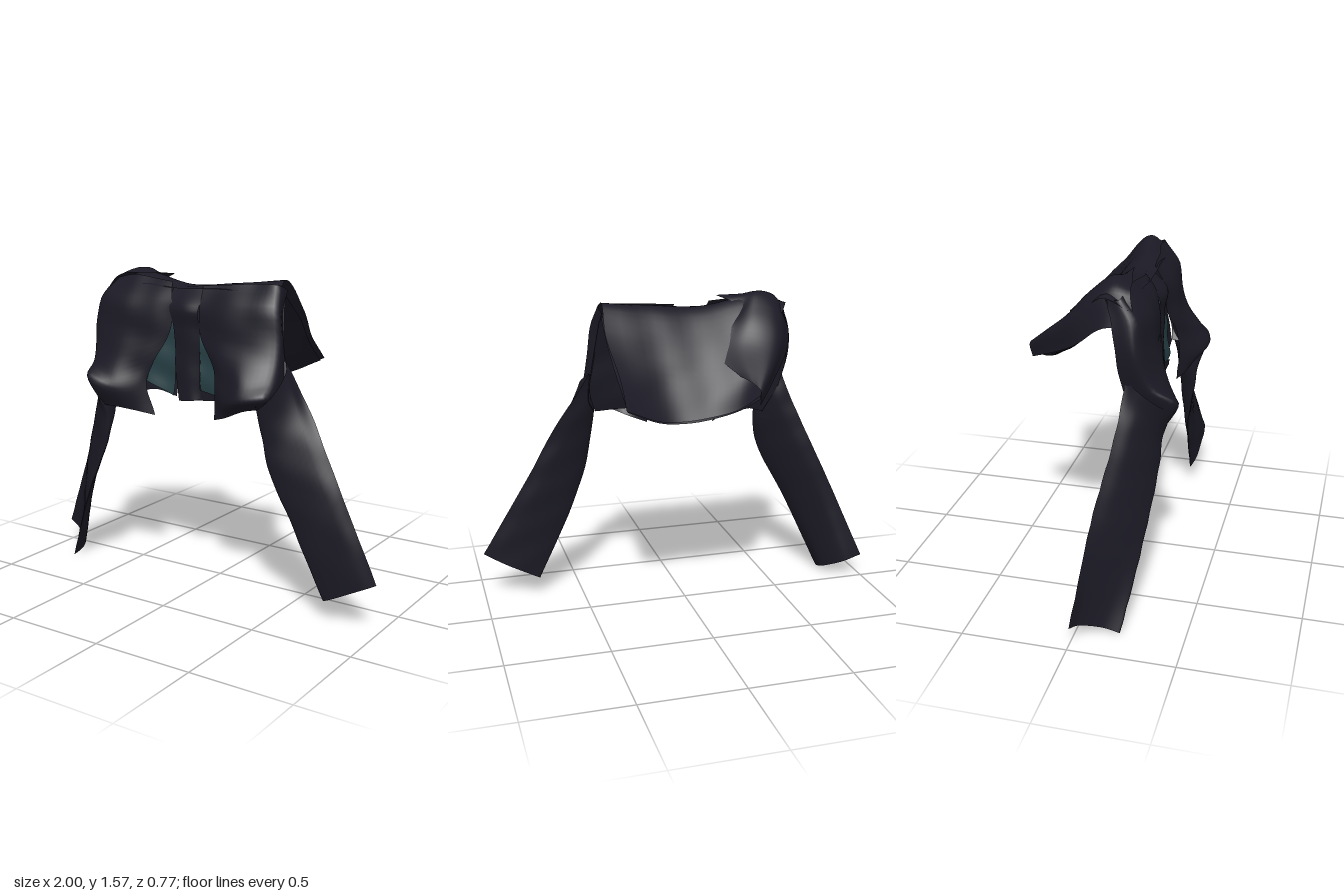
import * as THREE from 'three';

const cloth = new THREE.MeshStandardMaterial({ color: 0x1b1a25, side: THREE.DoubleSide });
cloth.name = 'dark cloth';
const teal = new THREE.MeshStandardMaterial({ color: 0x263f44, side: THREE.DoubleSide });
teal.name = 'teal lining';

const spline = (pts) => new THREE.CatmullRomCurve3(pts);

// Smooth sheet through a grid of control points (rows of [x, y, z]) with slight wrinkles
function sheet(name, rows, mat = cloth, wrinkle = 0.004, nu = 24, nv = 24) {
  const curves = rows.map((r) => spline(r.map((p) => new THREE.Vector3(...p))));
  const pos = [], index = [];
  for (let i = 0; i <= nu; i++) {
    const column = spline(curves.map((c) => c.getPoint(i / nu)));
    for (let j = 0; j <= nv; j++) {
      const p = column.getPoint(j / nv);
      p.z += wrinkle * Math.sin(p.x * 23 + p.y * 17) * Math.sin(p.y * 21 - p.x * 9);
      pos.push(p.x, p.y, p.z);
      if (i < nu && j < nv) {
        const a = i * (nv + 1) + j, b = a + nv + 1;
        index.push(a, a + 1, b, b, a + 1, b + 1);
      }
    }
  }
  const geo = new THREE.BufferGeometry();
  geo.setAttribute('position', new THREE.Float32BufferAttribute(pos, 3));
  geo.setIndex(index);
  geo.computeVertexNormals();
  const mesh = new THREE.Mesh(geo, mat);
  mesh.name = name;
  return mesh;
}

// Flattened tube: each section is [outer edge, inner edge, half thickness, sideways bow]
function sleeve(name, sections) {
  const rows = sections.map(([a, b, t, bow]) => {
    const A = new THREE.Vector3(...a), B = new THREE.Vector3(...b);
    const n = B.clone().sub(A).cross(new THREE.Vector3(0, 1, 0)).normalize();
    const at = (f, s) => A.clone().lerp(B, f).addScaledVector(n, s + bow).toArray();
    return [a, at(0.25, t), at(0.75, t), b, at(0.75, -t), at(0.25, -t), a];
  });
  return sheet(name, rows, cloth, 0.003, 36, 30);
}

export function createModel() {
  const g = new THREE.Group();
  g.name = 'drapedJacket';

  // Front panels, each wrapping round the side and bulging at the elbow
  g.add(sheet('rightFrontPanel', [
    [[-.52, 1.5, .06], [-.54, 1.51, .13], [-.42, 1.54, .14], [-.28, 1.53, .15], [-.17, 1.52, .16]],
    [[-.57, 1.4, .1], [-.58, 1.42, .2], [-.4, 1.42, .24], [-.25, 1.42, .23], [-.14, 1.42, .21]],
    [[-.59, 1.28, .12], [-.6, 1.28, .22], [-.4, 1.25, .27], [-.25, 1.25, .25], [-.14, 1.3, .22]],
    [[-.56, 1.1, .15], [-.57, 1.12, .28], [-.42, 1.08, .33], [-.32, 1.1, .29], [-.225, 1.13, .25]],
    [[-.53, 1.0, .18], [-.54, 1.05, .38], [-.4, 1.0, .36], [-.32, 1.0, .31], [-.26, 1.03, .26]],
    [[-.48, .93, .19], [-.5, .91, .31], [-.38, .9, .31], [-.3, .89, .29], [-.22, .87, .25]],
  ]));
  g.add(sheet('leftFrontPanel', [
    [[.4, 1.5, .04], [.4, 1.53, .12], [.28, 1.53, .13], [.14, 1.52, .15], [.01, 1.51, .16]],
    [[.41, 1.4, .1], [.43, 1.42, .18], [.28, 1.42, .22], [.14, 1.42, .22], [.02, 1.4, .21]],
    [[.43, 1.25, .12], [.45, 1.25, .2], [.3, 1.25, .25], [.16, 1.26, .25], [.03, 1.28, .22]],
    [[.45, 1.12, .14], [.46, 1.12, .26], [.34, 1.1, .34], [.22, 1.12, .3], [.125, 1.14, .25]],
    [[.45, 1.04, .16], [.46, 1.04, .34], [.34, 1.02, .38], [.23, 1.0, .33], [.14, 1.04, .26]],
    [[.42, .99, .17], [.42, .98, .27], [.34, .97, .31], [.22, .92, .3], [.13, .89, .25]],
  ]));

  // Inner layers behind the front, parted below the neck
  g.add(sheet('rightInnerLayer', [
    [[-.53, 1.5, .07], [-.4, 1.5, .1], [-.25, 1.5, .11], [-.12, 1.5, .11]],
    [[-.58, 1.3, .12], [-.4, 1.29, .13], [-.25, 1.28, .15], [-.11, 1.28, .16]],
    [[-.56, 1.1, .15], [-.4, 1.1, .16], [-.25, 1.1, .18], [-.12, 1.1, .18]],
    [[-.48, .92, .19], [-.38, .95, .19], [-.25, .99, .2], [-.128, .965, .19]],
  ]));
  g.add(sheet('leftInnerLayer', [
    [[-.12, 1.5, .11], [.05, 1.49, .11], [.22, 1.49, .1], [.4, 1.5, .06]],
    [[-.12, 1.28, .16], [.05, 1.28, .16], [.22, 1.28, .14], [.43, 1.28, .12]],
    [[-.11, 1.1, .19], [.05, 1.1, .18], [.22, 1.1, .16], [.45, 1.1, .14]],
    [[-.1, .96, .2], [.05, .97, .19], [.22, .99, .18], [.42, .99, .17]],
  ]));

  // Teal lining in the two openings
  g.add(sheet('rightLining', [
    [[-.18, 1.36, .175], [-.125, 1.36, .175]],
    [[-.27, 1.15, .195], [-.13, 1.15, .195]],
    [[-.29, 1.03, .215], [-.135, .97, .205]],
  ], teal, 0.008));
  g.add(sheet('leftLining', [
    [[.0, 1.34, .175], [.08, 1.34, .175]],
    [[.01, 1.15, .195], [.17, 1.15, .19]],
    [[.02, .98, .205], [.18, 1.01, .205]],
  ], teal, 0.008));

  // Neck band and the strip hanging below it
  g.add(sheet('centreStrip', [
    [[-.18, 1.5, .13], [-.09, 1.5, .14], [.02, 1.5, .13]],
    [[-.15, 1.4, .22], [-.06, 1.4, .23], [.02, 1.4, .22]],
    [[-.13, 1.3, .21], [-.05, 1.3, .22], [.02, 1.3, .21]],
    [[-.12, 1.08, .21], [-.05, 1.08, .22], [.02, 1.08, .21]],
    [[-.1, .95, .21], [-.02, .96, .23], [.03, .97, .22]],
  ]));
  g.add(sheet('stripHem', [
    [[.0, 1.02, .21], [.12, 1.0, .215]],
    [[-.01, .96, .21], [.12, .975, .215]],
  ], cloth, 0, 4, 4));

  // Back panel folded over the ridge and sloping down behind
  g.add(sheet('backPanel', [
    [[-.56, 1.47, .17], [-.35, 1.5, .18], [-.1, 1.49, .18], [.15, 1.5, .17], [.41, 1.48, .15]],
    [[-.54, 1.51, .06], [-.38, 1.55, .07], [-.1, 1.5, .07], [.15, 1.52, .06], [.4, 1.55, .05]],
    [[-.44, 1.4, -.08], [-.3, 1.39, -.08], [-.08, 1.35, -.08], [.15, 1.36, -.08], [.41, 1.41, -.09]],
    [[-.34, 1.26, -.24], [-.22, 1.2, -.22], [-.04, 1.17, -.21], [.16, 1.17, -.21], [.38, 1.24, -.25]],
    [[-.26, 1.15, -.38], [-.16, 1.08, -.34], [0, 1.04, -.31], [.18, 1.04, -.32], [.38, 1.12, -.38]],
  ]));
  // Second layer sagging beneath it
  g.add(sheet('backUnderside', [
    [[-.53, 1.46, .08], [-.35, 1.43, .09], [-.1, 1.42, .1], [.15, 1.43, .1], [.4, 1.48, .06]],
    [[-.46, 1.33, -.06], [-.32, 1.28, -.06], [-.08, 1.27, -.07], [.15, 1.28, -.07], [.4, 1.36, -.08]],
    [[-.35, 1.2, -.22], [-.22, 1.14, -.2], [-.04, 1.12, -.2], [.16, 1.12, -.2], [.38, 1.2, -.24]],
    [[-.26, 1.13, -.37], [-.16, 1.07, -.33], [0, 1.03, -.31], [.18, 1.03, -.31], [.37, 1.11, -.36]],
  ]));

  // Flap of the right side rolled over the back panel
  g.add(sheet('foldedFlap', [
    [[-.58, 1.4, .2], [-.5, 1.53, .17], [-.36, 1.55, .14], [-.19, 1.555, .11]],
    [[-.56, 1.38, .06], [-.49, 1.54, .07], [-.38, 1.57, .06], [-.28, 1.51, .04]],
    [[-.5, 1.28, -.07], [-.46, 1.43, -.08], [-.34, 1.48, -.05], [-.22, 1.42, -.04]],
    [[-.38, 1.18, -.22], [-.38, 1.3, -.22], [-.25, 1.34, -.15], [-.14, 1.3, -.1]],
    [[-.26, 1.1, -.37], [-.26, 1.17, -.385], [-.24, 1.2, -.33], [-.2, 1.22, -.25]],
  ]));

  // Flattened sleeves hanging from the elbows
  g.add(sleeve('rightSleeve', [
    [[-.56, 1.15, .16], [-.51, 1.0, .36], .04, 0],
    [[-.6, 1.04, .15], [-.47, .85, .31], .04, 0],
    [[-.66, .9, .13], [-.49, .71, .3], .03, 0],
    [[-.8, .58, .07], [-.64, .41, .27], .02, -.01],
    [[-1, .12, .01], [-.82, .005, .2], .012, -.05],
  ]));
  g.add(sleeve('leftSleeve', [
    [[.45, 1.19, .14], [.43, 1.0, .36], .04, 0],
    [[.52, 1.08, .14], [.43, .86, .31], .04, 0],
    [[.62, .93, .165], [.45, .7, .28], .03, 0],
    [[.75, .69, .195], [.55, .45, .24], .022, 0],
    [[1, .25, .26], [.72, .1, .23], .015, 0],
  ]));
  return g;
}
